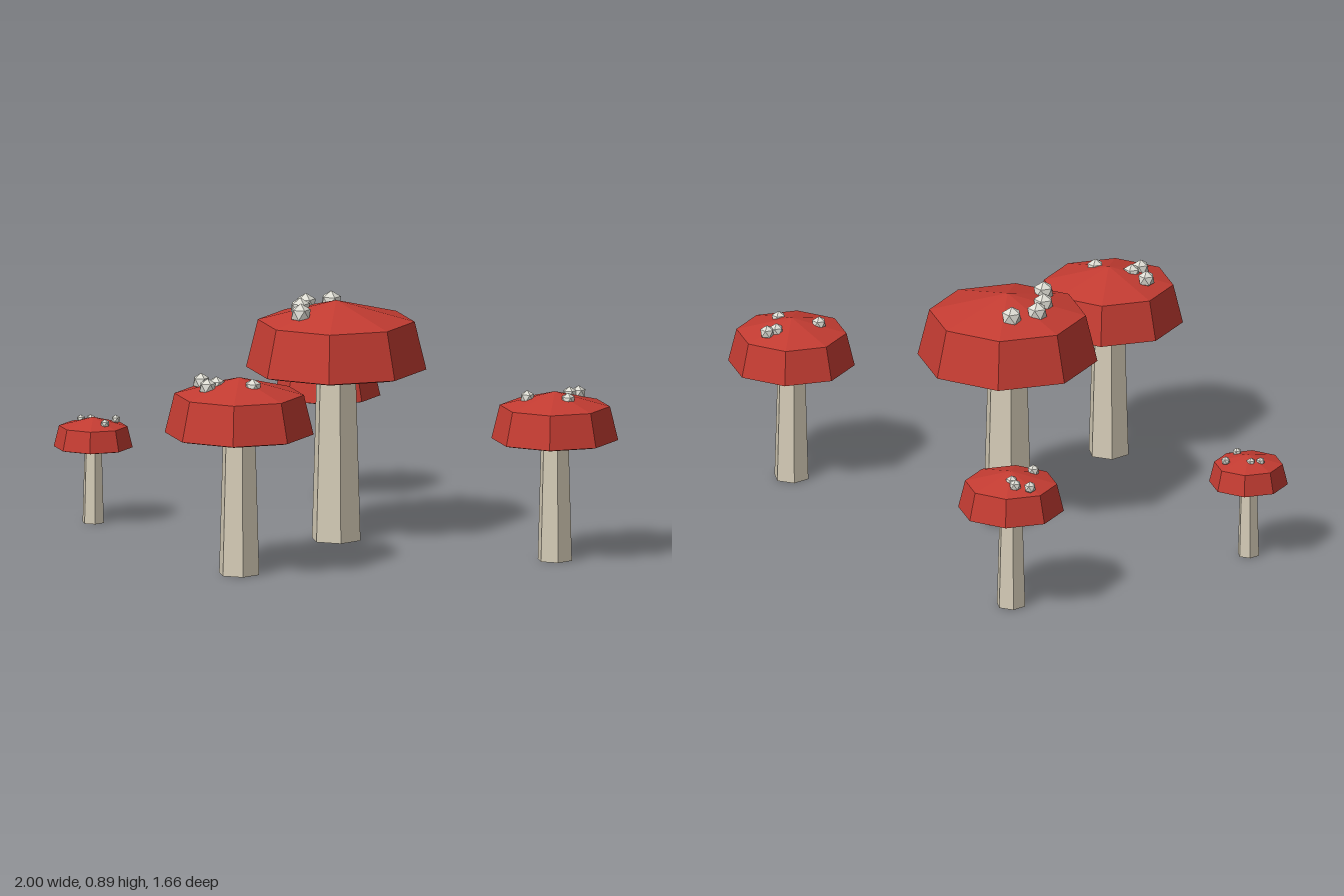
import * as THREE from 'three';

const paint = (color) => new THREE.MeshStandardMaterial({ color, flatShading: true });

// x, z, cap radius, cap top height, and [x, z] of each spot
const MUSHROOMS = [
  { name: 'tallMushroom', x: -0.045, z: -0.133, r: 0.327, top: 0.88,
    spots: [[-0.17, -0.215], [-0.193, -0.115], [-0.14, -0.043], [-0.05, 0.03]] },
  { name: 'frontMushroom', x: 0.23, z: 0.56, r: 0.27, top: 0.723,
    spots: [[0.1, 0.63], [0.185, 0.63], [0.197, 0.682], [0.306, 0.56]] },
  { name: 'leftMushroom', x: 0.765, z: -0.482, r: 0.23, top: 0.62,
    spots: [[0.753, -0.605], [0.747, -0.567], [0.835, -0.485], [0.702, -0.405]] },
  { name: 'backMushroom', x: -0.695, z: -0.643, r: 0.192, top: 0.52,
    spots: [[-0.825, -0.66], [-0.777, -0.69], [-0.738, -0.675], [-0.705, -0.547]] },
  { name: 'smallMushroom', x: -0.857, z: 0.33, r: 0.143, top: 0.388,
    spots: [[-0.825, 0.25], [-0.893, 0.312], [-0.91, 0.343], [-0.785, 0.335]] },
];

export function createModel() {
  const model = new THREE.Group();
  model.name = 'mushroomCluster';
  const capRed = paint(0xc43c32);
  const stemCream = paint(0xd6cdb8);
  const spotWhite = paint(0xdeddd4);

  // Eight-sided cap profile of unit radius, apex at the origin
  const profile = [[0, -0.79], [0.9, -0.79], [1, -0.765], [0.87, -0.23], [0, 0]]
    .map(([x, y]) => new THREE.Vector2(x, y));
  const capGeometry = new THREE.LatheGeometry(profile, 8);

  // Faceted spot with a corner pointing up
  const spotGeometry = new THREE.IcosahedronGeometry(0.12, 0);
  spotGeometry.rotateX(-Math.atan((1 + Math.sqrt(5)) / 2));

  for (const { name, x, z, r, top, spots } of MUSHROOMS) {
    const mushroom = new THREE.Group();
    mushroom.name = name;
    mushroom.position.set(x, 0, z);

    const add = (partName, geometry, material) => {
      const mesh = new THREE.Mesh(geometry, material);
      mesh.name = partName;
      mushroom.add(mesh);
      return mesh;
    };

    // Tapered six-sided stem, ending just inside the cap
    const height = top - 0.75 * r;
    add('stem', new THREE.CylinderGeometry(0.228 * r, 0.285 * r, height, 6), stemCream)
      .position.y = height / 2;

    const cap = add('cap', capGeometry, capRed);
    cap.scale.setScalar(r);
    cap.position.y = top;

    // Spots half sunk into the cap
    for (const [sx, sz] of spots) {
      const spot = add('spot', spotGeometry, spotWhite);
      spot.scale.setScalar(r);
      spot.position.set(sx - x, top - 0.1 * r, sz - z);
    }
    model.add(mushroom);
  }
  return model;
}
